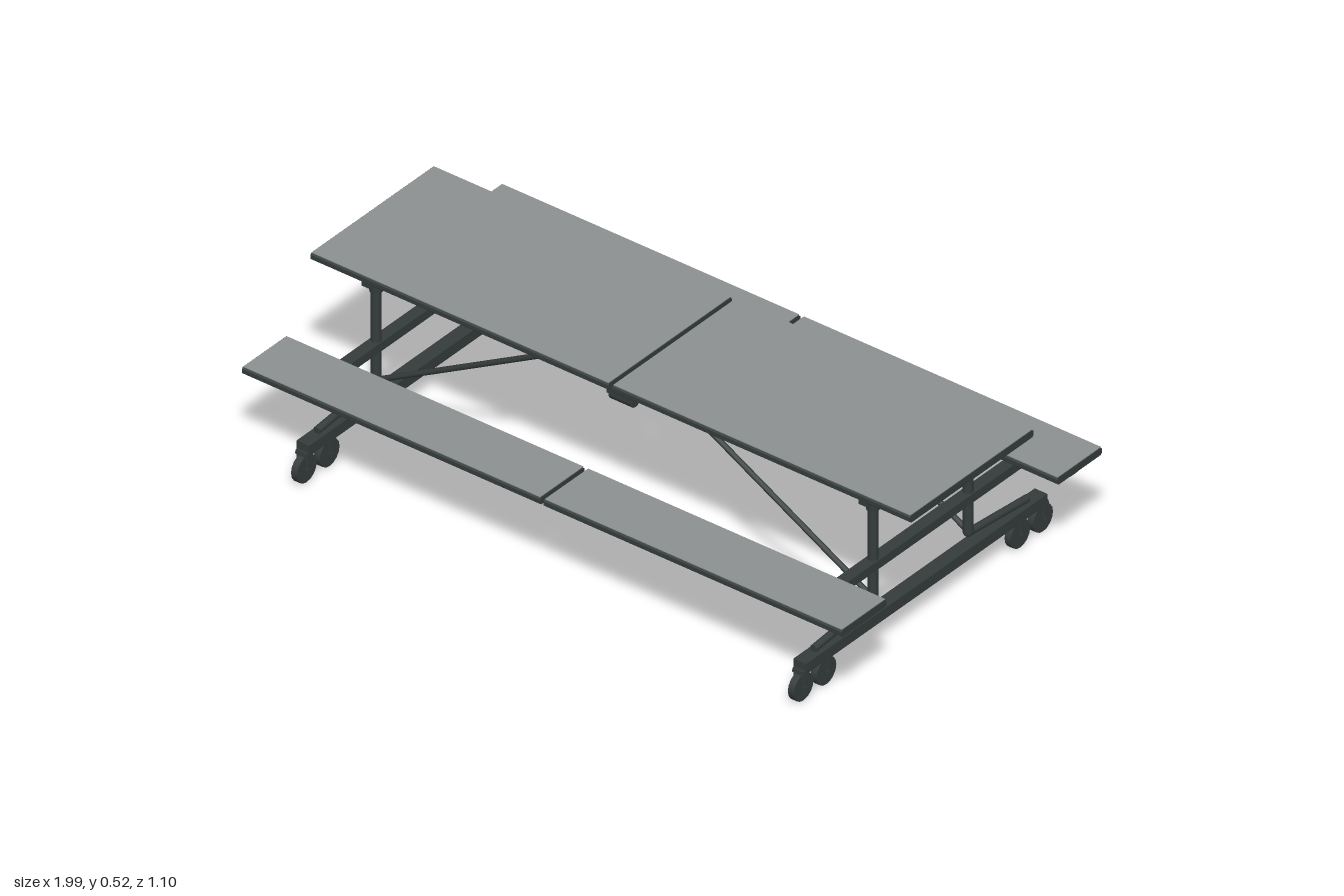
import * as THREE from 'three';

const laminate = new THREE.MeshStandardMaterial({ color: 0x8e9292 });
laminate.name = 'greyLaminate';
const steel = new THREE.MeshStandardMaterial({ color: 0x363d3d });
steel.name = 'darkSteel';

const LEG_X = 0.825, LEG_Z = 0.2;

function add(parent, name, geometry, x = 0, y = 0, z = 0, material = steel) {
  const mesh = new THREE.Mesh(geometry, material);
  mesh.name = name;
  mesh.position.set(x, y, z);
  parent.add(mesh);
  return mesh;
}

function box(parent, name, w, h, d, x, y, z, material) {
  return add(parent, name, new THREE.BoxGeometry(w, h, d), x, y, z, material);
}

// Round bar between two points
function bar(parent, name, from, to, radius, sides = 12) {
  const a = new THREE.Vector3(...from), b = new THREE.Vector3(...to);
  const dir = b.clone().sub(a);
  const mesh = add(parent, name, new THREE.CylinderGeometry(radius, radius, dir.length(), sides));
  mesh.position.copy(a).add(b).multiplyScalar(0.5);
  mesh.quaternion.setFromUnitVectors(new THREE.Vector3(0, 1, 0), dir.normalize());
  return mesh;
}

// Board with a chamfered dark edge and a thin laminate surface
function board(parent, name, x0, x1, z0, z1, bottom, top) {
  const group = new THREE.Group();
  group.name = name;
  const w = (z1 - z0) / 2, h = (top - 0.002 - bottom) / 2, c = 0.005;
  const section = new THREE.Shape([
    [-w + c, -h], [w - c, -h], [w, -h + c], [w, h - c],
    [w - c, h], [-w + c, h], [-w, h - c], [-w, -h + c],
  ].map(([px, py]) => new THREE.Vector2(px, py)));
  const edge = new THREE.ExtrudeGeometry(section, { depth: x1 - x0, bevelEnabled: false });
  edge.rotateY(Math.PI / 2);
  const zc = (z0 + z1) / 2;
  add(group, name + 'Edge', edge, x0, bottom + h, zc);
  box(group, name + 'Surface', x1 - x0 - 0.004, 0.002, 2 * (w - c) + 0.004,
    (x0 + x1) / 2, top - 0.001, zc, laminate);
  parent.add(group);
}

// Swivel caster under the foot beam
function caster(parent, x, z) {
  const group = new THREE.Group();
  group.name = 'caster';
  group.position.set(x, 0, z);
  const wheel = new THREE.CylinderGeometry(0.0415, 0.0415, 0.02, 16).rotateZ(Math.PI / 2);
  add(group, 'wheel', wheel, 0, 0.0415, 0);
  for (const s of [-1, 1]) box(group, 'fork', 0.005, 0.055, 0.014, s * 0.0165, 0.064, 0);
  box(group, 'forkPlate', 0.038, 0.006, 0.026, 0, 0.088, 0);
  bar(group, 'axle', [-0.021, 0.0415, 0], [0.021, 0.0415, 0], 0.006, 8);
  parent.add(group);
}

export function createModel() {
  const table = new THREE.Group();
  table.name = 'foldingTable';

  for (const sx of [-1, 1]) {
    // Table and bench boards, one half each side of the fold
    const x0 = sx < 0 ? -0.996 : 0.006, x1 = sx < 0 ? -0.006 : 0.996;
    board(table, 'tableTop', x0, x1, -0.26, 0.26, 0.493, 0.517);
    board(table, 'rightBench', x0, x1, 0.36, 0.548, 0.286, 0.31);
    board(table, 'leftBench', x0, x1, -0.548, -0.36, 0.286, 0.31);

    // End frame
    const x = sx * LEG_X;
    box(table, 'topCrossbar', 0.03, 0.025, 0.484, x, 0.481, 0);
    box(table, 'benchCrossbar', 0.036, 0.027, 0.95, x, 0.268, 0);
    box(table, 'footBeam', 0.042, 0.033, 1.016, x, 0.1035, 0);

    for (const sz of [-1, 1]) {
      const z = sz * LEG_Z;
      // Bent leg tube and its sloping foot
      bar(table, 'leg', [x, 0.155, z], [x, 0.47, z], 0.014, 14);
      add(table, 'legElbow', new THREE.SphereGeometry(0.014, 14, 8), x, 0.155, z);
      bar(table, 'legFoot', [x, 0.152, z], [x, 0.129, sz * 0.45], 0.011, 14);
      add(table, 'legCollar', new THREE.CylinderGeometry(0.021, 0.018, 0.03, 12), x, 0.452, z);
      // Diagonal brace
      bar(table, 'brace', [sx * 0.82, 0.16, z], [sx * 0.27, 0.465, z], 0.008, 10);
      // Wheels and beam end caps
      caster(table, x, sz * 0.504);
      caster(table, x, sz * 0.408);
      box(table, 'beamCap', 0.036, 0.01, 0.02, x, 0.092, sz * 0.506);
      // Bench support rail
      box(table, 'benchRail', 0.969, 0.024, 0.032, sx * 0.4905, 0.274, sz * 0.455);
    }
  }

  for (const sz of [-1, 1]) {
    const z = sz * LEG_Z;
    // Under-table rail and central latch
    bar(table, 'tableRail', [-0.825, 0.468, z], [0.825, 0.468, z], 0.0095);
    box(table, 'latchPlate', 0.088, 0.016, 0.04, 0, 0.46, z);
    bar(table, 'latch', [-0.037, 0.45, z], [0.037, 0.45, z], 0.021);
    // Fold hinges
    box(table, 'tableHinge', 0.014, 0.03, 0.04, 0, 0.486, z);
    box(table, 'benchHinge', 0.014, 0.03, 0.032, 0, 0.28, sz * 0.455);
  }
  return table;
}
